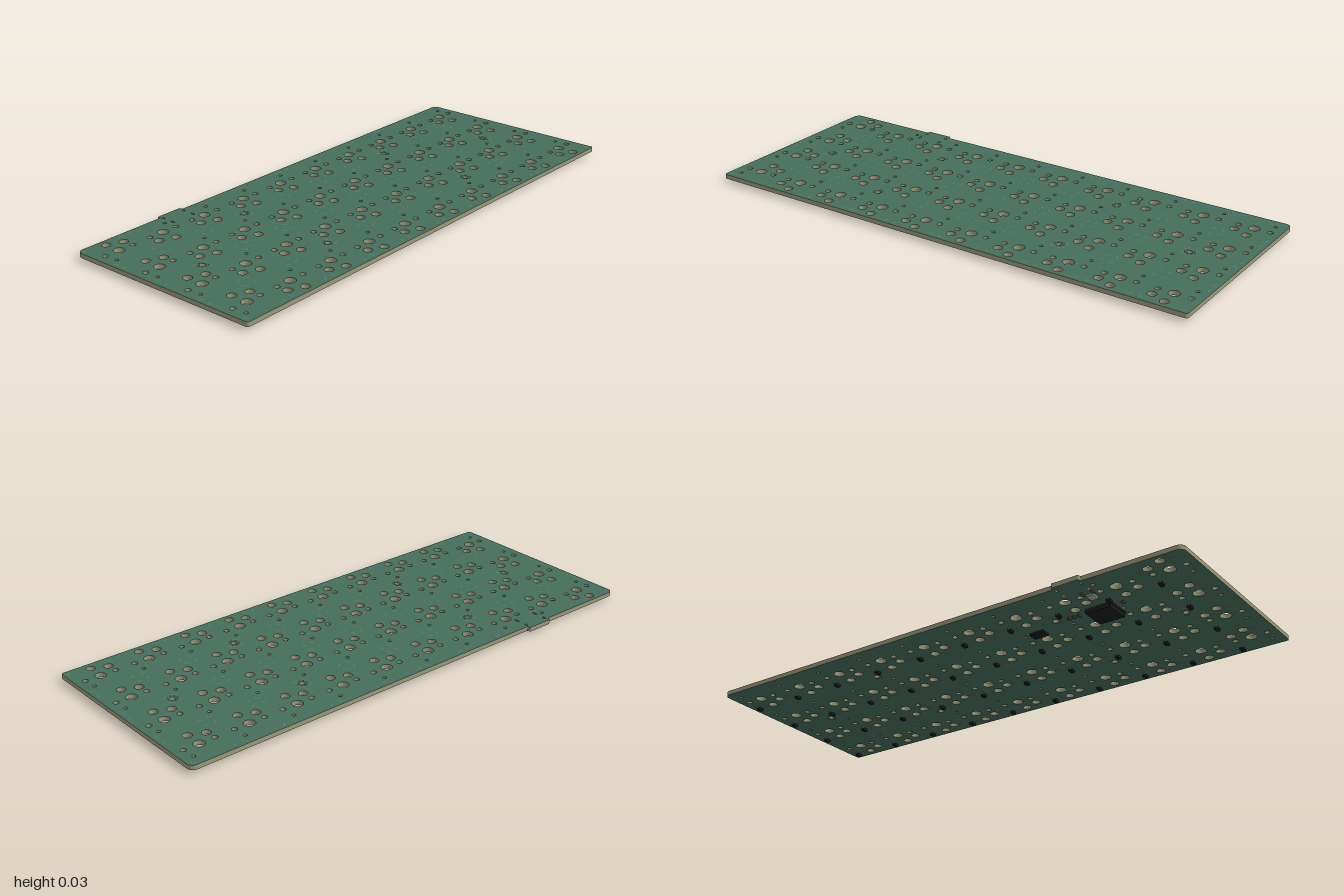
import * as THREE from 'three';
import { mergeGeometries } from 'three/addons/utils/BufferGeometryUtils.js';

const BOTTOM = 0.0155, TOP = 0.0328;
const mat = (color) => new THREE.MeshStandardMaterial({ color });

// Key centres; the first column is turned half round (s = -1)
const keys = [];
for (let c = 0; c < 10; c++)
  for (let r = 0; r < 4; r++)
    keys.push({ x: -0.9 + 0.2 * c, z: -0.295 + 0.2 * r, s: c === 0 ? -1 : 1 });

const box = (w, h, d, x, y, z) => new THREE.BoxGeometry(w, h, d).translate(x, y, z);

// Flat rectangle facing up (dir 1) or down (dir -1)
const flat = (w, d, x, y, z, dir) =>
  new THREE.PlaneGeometry(w, d).rotateX(-dir * Math.PI / 2).translate(x, y, z);

function part(name, geometries, material) {
  const mesh = new THREE.Mesh(mergeGeometries(geometries), material);
  mesh.name = name;
  return mesh;
}

// Outline drawn in (x, -z), with rounded corners and the connector tab at the back
function boardOutline() {
  const s = new THREE.Shape();
  const back = 0.395, tab = 0.408, front = -0.406, rb = 0.024, rf = 0.01;
  s.moveTo(-1 + rf, front);
  s.lineTo(1 - rf, front);
  s.absarc(1 - rf, front + rf, rf, -Math.PI / 2, 0);
  s.lineTo(1, back - rb);
  s.absarc(1 - rb, back - rb, rb, 0, Math.PI / 2);
  s.lineTo(-0.51, back);
  s.quadraticCurveTo(-0.515, back, -0.515, tab - 0.006);
  s.quadraticCurveTo(-0.515, tab, -0.521, tab);
  s.lineTo(-0.617, tab);
  s.quadraticCurveTo(-0.623, tab, -0.623, tab - 0.006);
  s.quadraticCurveTo(-0.623, back, -0.628, back);
  s.lineTo(-1 + rb, back);
  s.absarc(-1 + rb, back - rb, rb, Math.PI / 2, Math.PI);
  s.lineTo(-1, front + rf);
  s.absarc(-1 + rf, front + rf, rf, Math.PI, Math.PI * 1.5);
  return s;
}

function buildBoard() {
  const shape = boardOutline();
  const hole = (x, z, r, n = 20) => {
    const pts = [];
    for (let i = 0; i < n; i++) {
      const a = -i / n * Math.PI * 2;
      pts.push(new THREE.Vector2(x + r * Math.cos(a), -z + r * Math.sin(a)));
    }
    shape.holes.push(new THREE.Path(pts));
  };
  // Switch holes: centre post, side posts, socket pins, small pin
  const pattern = [
    [0, 0, 0.0205], [-0.061, 0, 0.0105], [0.061, 0, 0.0105],
    [0, 0.067, 0.0167], [-0.058, 0.043, 0.0167], [0.057, -0.053, 0.0068],
  ];
  for (const k of keys)
    for (const [x, z, r] of pattern) hole(k.x + k.s * x, k.z + k.s * z, r);
  // Mounting holes, each ringed by small vias
  for (const [x, z] of [[-0.4, -0.195], [0.4, -0.195], [-0.4, 0.205], [0.4, 0.205], [-0.8, 0.005], [0.8, 0.005]]) {
    hole(x, z, 0.0115);
    for (let i = 0; i < 8; i++) {
      const a = i * Math.PI / 4;
      hole(x + 0.0185 * Math.cos(a), z + 0.0185 * Math.sin(a), 0.002, 6);
    }
  }
  // Connector shell slots
  for (const x of [-0.617, -0.521])
    for (const [z, half] of [[-0.382, 0.005], [-0.335, 0.007]]) {
      const slot = new THREE.Path();
      slot.absarc(x, -z + half, 0.0035, 0, Math.PI);
      slot.absarc(x, -z - half, 0.0035, Math.PI, Math.PI * 2);
      shape.holes.push(slot);
    }
  const geo = new THREE.ExtrudeGeometry(shape, { depth: TOP - BOTTOM, bevelEnabled: false, curveSegments: 6 });
  geo.rotateX(-Math.PI / 2).translate(0, BOTTOM, 0);
  const mesh = new THREE.Mesh(geo, [mat(0x456e5c), mat(0x9c9a7c)]);
  mesh.name = 'circuitBoard';
  return mesh;
}

export function createModel() {
  const group = new THREE.Group();
  group.name = 'keyboardCircuitBoard';
  const black = mat(0x1c1c1c), metal = mat(0xa8a8a0);
  group.add(buildBoard());

  // Per-key diodes, socket pads and printed corner marks
  const bodies = [], leads = [], pads = [], marks = [];
  for (const { x, z, s } of keys) {
    const dx = x + 0.065, dz = z + 0.062;
    bodies.push(box(0.014, 0.010, 0.021, dx, 0.0085, dz));
    leads.push(box(0.006, 0.003, 0.030, dx, 0.0140, dz));
    for (const [px, pz] of [[0.034, 0.067], [-0.09, 0.043]])
      pads.push(flat(0.022, 0.024, x + s * px, BOTTOM - 0.0004, z + s * pz, -1));
    for (const sx of [-1, 1])
      for (const sz of [-1, 1]) {
        marks.push(flat(0.014, 0.0018, x + sx * 0.077, TOP + 0.0003, z + sz * 0.084, 1));
        marks.push(flat(0.0018, 0.014, x + sx * 0.084, TOP + 0.0003, z + sz * 0.077, 1));
      }
  }
  group.add(part('diodeBodies', bodies, black));
  group.add(part('diodeLeads', leads, metal));
  group.add(part('socketPads', pads, mat(0x55605a)));
  group.add(part('cornerMarks', marks, mat(0x6d8a7c)));

  // Controller chip with pins on four sides
  const cx = -0.576, cz = -0.16, pins = [];
  group.add(part('controllerChip', [box(0.098, 0.0125, 0.098, cx, 0.0073, cz)], black));
  for (let i = 0; i < 11; i++) {
    const o = (i - 5) * 0.0085;
    for (const side of [-1, 1]) {
      pins.push(box(0.0035, 0.002, 0.010, cx + o, 0.0142, cz + side * 0.053));
      pins.push(box(0.010, 0.002, 0.0035, cx + side * 0.053, 0.0142, cz + o));
    }
  }
  group.add(part('chipPins', pins, mat(0x444440)));

  // Small chip, crystal and passives on the underside
  group.add(part('smallChip', [box(0.056, 0.009, 0.036, -0.3, 0.011, -0.15)], black));
  group.add(part('crystal', [box(0.028, 0.007, 0.036, -0.6, 0.012, -0.283)], metal));
  const passives = [];
  for (const [x, z] of [[-0.665, -0.19], [-0.49, -0.19], [-0.47, -0.19], [-0.45, -0.19], [-0.58, -0.315], [-0.62, -0.315]])
    passives.push(box(0.009, 0.006, 0.016, x, 0.0125, z));
  group.add(part('passives', passives, mat(0x5a5148)));
  return group;
}
